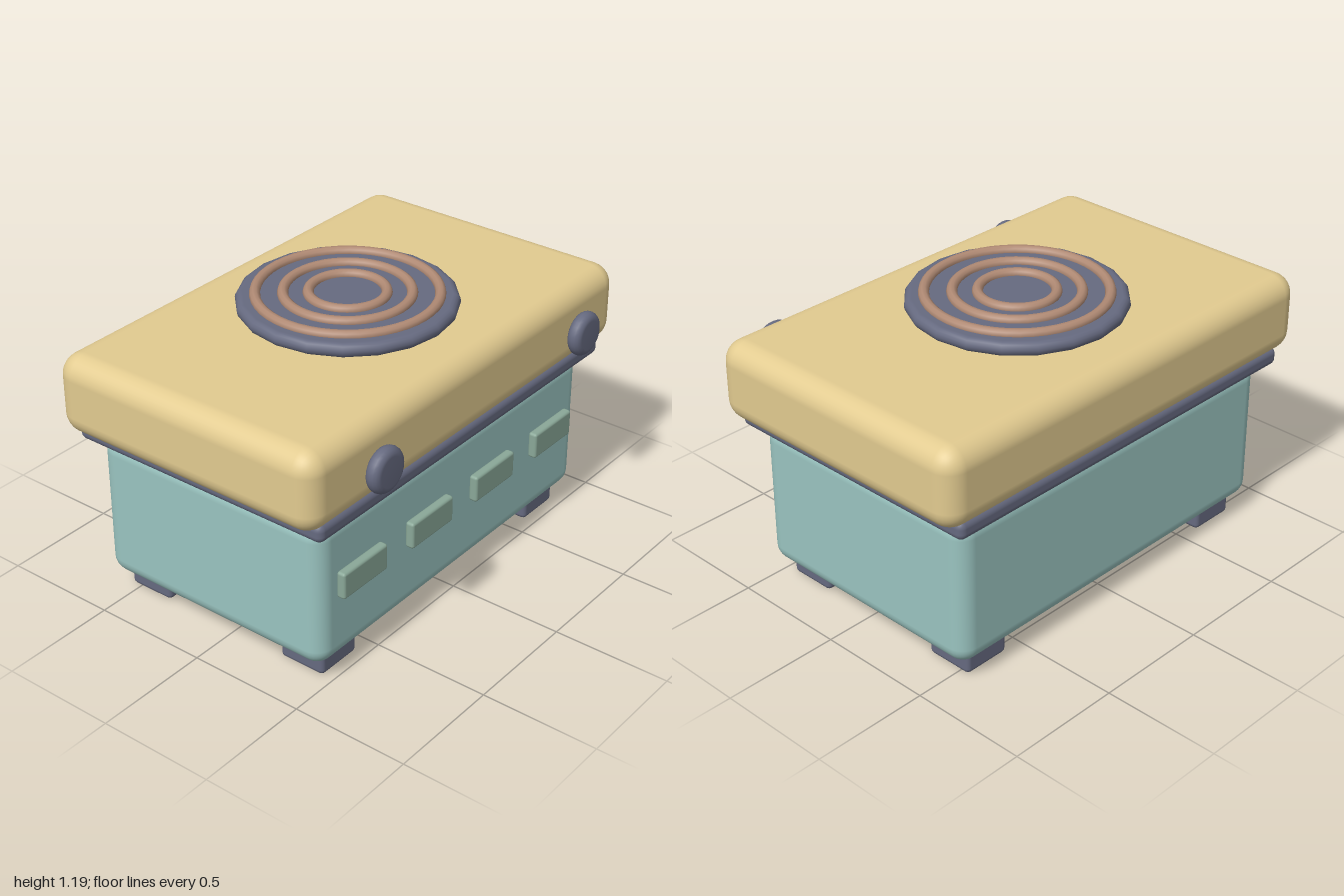
import * as THREE from 'three';
import { RoundedBoxGeometry } from 'three/addons/geometries/RoundedBoxGeometry.js';

const mat = (color) => new THREE.MeshStandardMaterial({ color });
const ZC = -0.045; // depth centre of the casing

export function createModel() {
  const model = new THREE.Group();
  const teal = mat(0x9ac4c0), tan = mat(0xe2cb90), slate = mat(0x666a80);
  const copper = mat(0xb08a74), green = mat(0x8aa898);

  const add = (name, geometry, material, x, y, z) => {
    const mesh = new THREE.Mesh(geometry, material);
    mesh.name = name;
    mesh.position.set(x, y, z);
    model.add(mesh);
    return mesh;
  };
  const box = (w, h, d, r, seg = 4) => new RoundedBoxGeometry(w, h, d, seg, r);

  // disc with a rounded rim, centred on its own axis
  const disc = (radius, height, sides) => {
    const r = height / 2, points = [new THREE.Vector2(0, -r)];
    for (let i = 0; i <= 8; i++) {
      const a = -Math.PI / 2 + (i / 8) * Math.PI;
      points.push(new THREE.Vector2(radius - r + r * Math.cos(a), r * Math.sin(a)));
    }
    points.push(new THREE.Vector2(0, r));
    return new THREE.LatheGeometry(points, sides);
  };

  // casing: body, seam trim and lid
  add('body', box(1.735, 0.64, 1.105, 0.075), teal, 0, 0.405, ZC);
  add('seamTrim', box(1.84, 0.08, 1.21, 0.03), slate, 0, 0.75, ZC);
  add('lid', box(2, 0.34, 1.26, 0.09), tan, 0, 0.938, -0.047);

  // feet
  for (const x of [-0.685, 0.685])
    for (const z of [0.35, -0.44])
      add('foot', box(0.21, 0.12, 0.21, 0.02, 2), slate, x, 0.06, z);

  // hot plate with concentric heating rings
  add('hotPlate', disc(0.445, 0.06, 20), slate, 0, 1.139, -0.047);
  for (const radius of [0.365, 0.255, 0.155])
    add('heatingRing', new THREE.TorusGeometry(radius, 0.022, 10, 48), copper, 0, 1.172, -0.047)
      .rotation.x = Math.PI / 2;

  // front knobs
  for (const x of [-0.655, 0.655])
    add('knob', disc(0.093, 0.064, 28), slate, x, 0.94, 0.643).rotation.x = Math.PI / 2;

  // row of front buttons
  for (let i = 0; i < 4; i++)
    add('button', box(0.265, 0.116, 0.04, 0.012, 2), green, -0.632 + i * 0.4213, 0.438, 0.524);

  return model;
}
